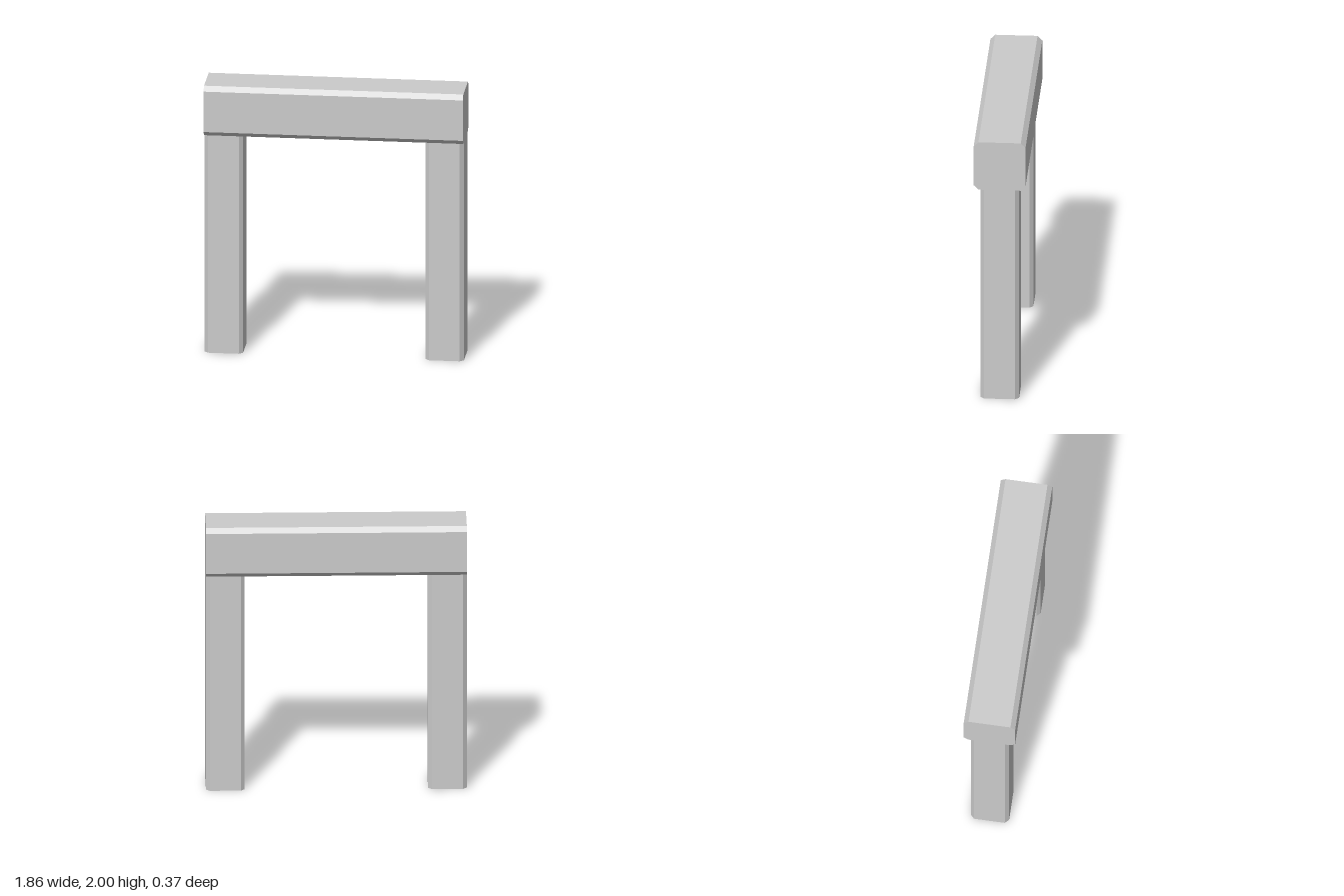
import * as THREE from 'three';

const material = new THREE.MeshStandardMaterial({ color: 0xcccccc, flatShading: true });

// Square bar with chamfered long edges, running along +z from the origin
function chamferedBar(size, chamfer, length) {
  const h = size / 2, c = h - chamfer;
  const section = new THREE.Shape([
    [c, -h], [h, -c], [h, c], [c, h], [-c, h], [-h, c], [-h, -c], [-c, -h],
  ].map(([x, y]) => new THREE.Vector2(x, y)));
  return new THREE.ExtrudeGeometry(section, { depth: length, bevelEnabled: false });
}

export function createModel() {
  const group = new THREE.Group();
  const halfWidth = 0.928, beamSize = 0.37, postSize = 0.275;
  const postHeight = 2 - beamSize;

  // Horizontal beam across the top
  const beamGeometry = chamferedBar(beamSize, 0.034, halfWidth * 2);
  beamGeometry.translate(0, 0, -halfWidth).rotateY(Math.PI / 2);
  const beam = new THREE.Mesh(beamGeometry, material);
  beam.name = 'lintelBeam';
  beam.position.y = 2 - beamSize / 2;
  group.add(beam);

  // Two upright posts, flush with the beam ends
  const postGeometry = chamferedBar(postSize, 0.027, postHeight).rotateX(-Math.PI / 2);
  for (const [name, side] of [['leftPost', 1], ['rightPost', -1]]) {
    const post = new THREE.Mesh(postGeometry, material);
    post.name = name;
    post.position.x = side * (halfWidth - postSize / 2);
    group.add(post);
  }
  return group;
}
